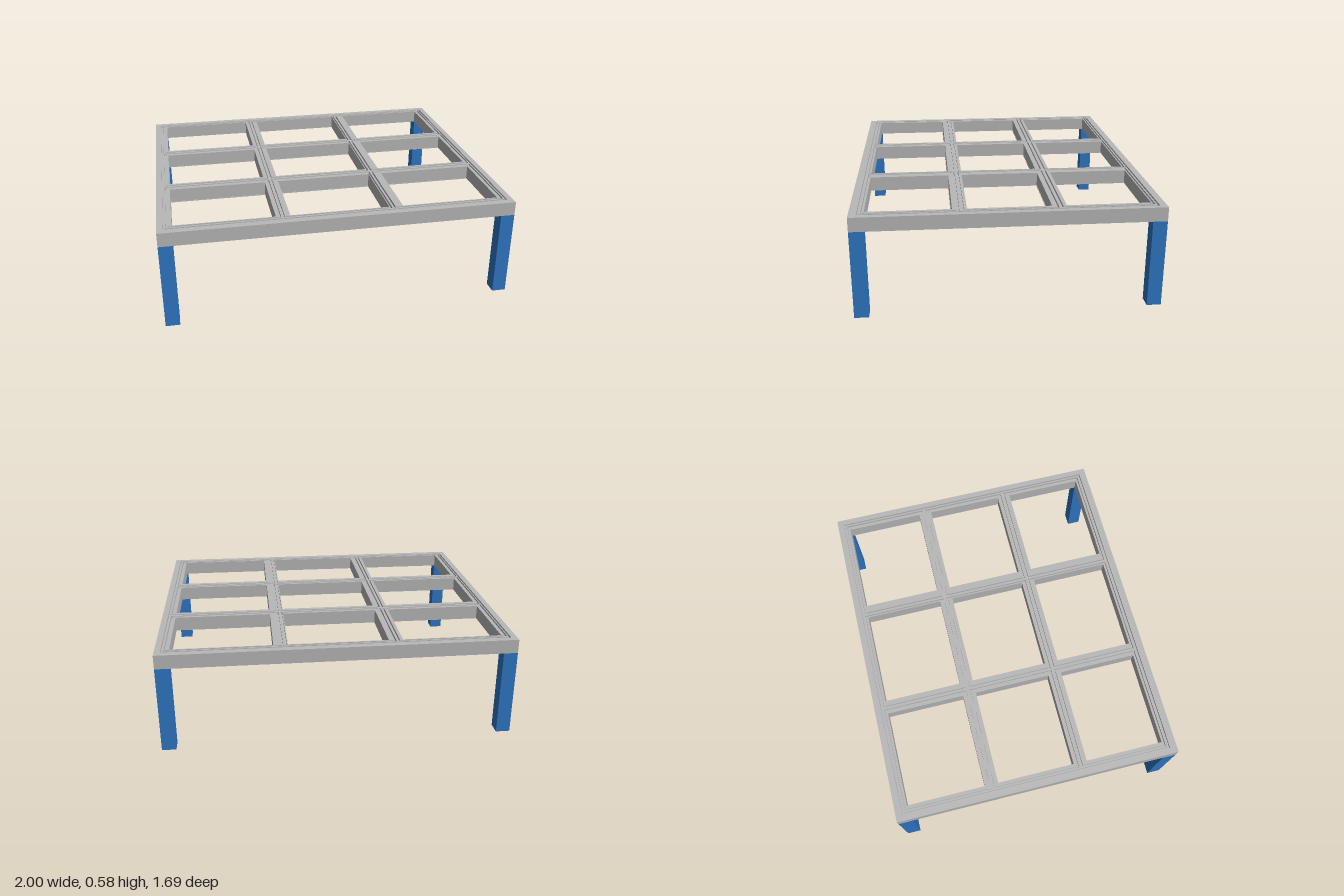
import * as THREE from 'three';

const grey = new THREE.MeshStandardMaterial({ name: 'frame grey', color: 0xb8b8b8 });
const blue = new THREE.MeshStandardMaterial({ name: 'leg blue', color: 0x2f77c4 });

const W = 1, D = 0.845, BAR = 0.08, BASE = 0.5, TOP = 0.58, GROOVE = 0.566;

// corner points of a rectangle given as [x0, x1, z0, z1]
const points = ([x0, x1, z0, z1]) => [
  new THREE.Vector2(x0, -z0), new THREE.Vector2(x0, -z1),
  new THREE.Vector2(x1, -z1), new THREE.Vector2(x1, -z0),
];
const grow = ([x0, x1, z0, z1], d) => [x0 - d, x1 + d, z0 - d, z1 + d];

// horizontal plate with rectangular openings between two heights
function plate(name, outer, holes, y0, y1) {
  const shape = new THREE.Shape(points(outer));
  holes.forEach(h => shape.holes.push(new THREE.Path(points(h))));
  const geo = new THREE.ExtrudeGeometry(shape, { depth: y1 - y0, bevelEnabled: false });
  geo.rotateX(-Math.PI / 2).translate(0, y0, 0);
  const mesh = new THREE.Mesh(geo, grey);
  mesh.name = name;
  return mesh;
}

// every combination of x spans and z spans
const grid = (xs, zs) => zs.flatMap(z => xs.map(x => [...x, ...z]));

export function createModel() {
  const model = new THREE.Group();
  model.name = 'table frame';

  // nine through openings, and the seat rectangles around them
  const openings = grid(
    [[-0.92, -0.36], [-0.28, 0.28], [0.36, 0.92]],
    [[-0.77, -0.31], [-0.23, 0.225], [0.305, 0.765]]);
  const seats = grid(
    [[-0.95, -0.332], [-0.32, 0.294], [0.306, 0.948]],
    [[-0.787, -0.281], [-0.265, 0.25], [0.266, 0.782]]);

  // solid lower body, with the cross bars reaching a hair below the rim
  const outer = [-W, W, -D, D];
  model.add(plate('frameBody', outer, openings, BASE, GROOVE));
  for (const s of [-1, 1]) {
    const barX = new THREE.Mesh(new THREE.BoxGeometry(BAR, 0.004, 2 * D - 2 * BAR), grey);
    barX.position.set(s * 0.32, BASE, 0);
    barX.name = 'longCrossBar';
    const barZ = new THREE.Mesh(new THREE.BoxGeometry(2 * W - 2 * BAR, 0.004, BAR), grey);
    barZ.position.set(0, BASE, s * 0.268);
    barZ.name = 'shortCrossBar';
    model.add(barX, barZ);
  }

  // top layer: outer rim, thin lattice strip and ledges, parted by narrow grooves
  const inner = [-0.966, 0.966, -0.806, 0.803];
  model.add(plate('outerRim', outer, [inner], GROOVE, TOP));
  model.add(plate('latticeStrip', grow(inner, -0.009), seats, GROOVE, TOP));
  seats.forEach((s, i) =>
    model.add(plate('cellLedge', grow(s, -0.009), [openings[i]], GROOVE, TOP)));

  // corner legs
  for (const sx of [-1, 1]) for (const sz of [-1, 1]) {
    const leg = new THREE.Mesh(new THREE.BoxGeometry(BAR, BASE, BAR), blue);
    leg.position.set(sx * (W - BAR / 2), BASE / 2, sz * (D - BAR / 2));
    leg.name = 'leg';
    model.add(leg);
  }
  return model;
}
